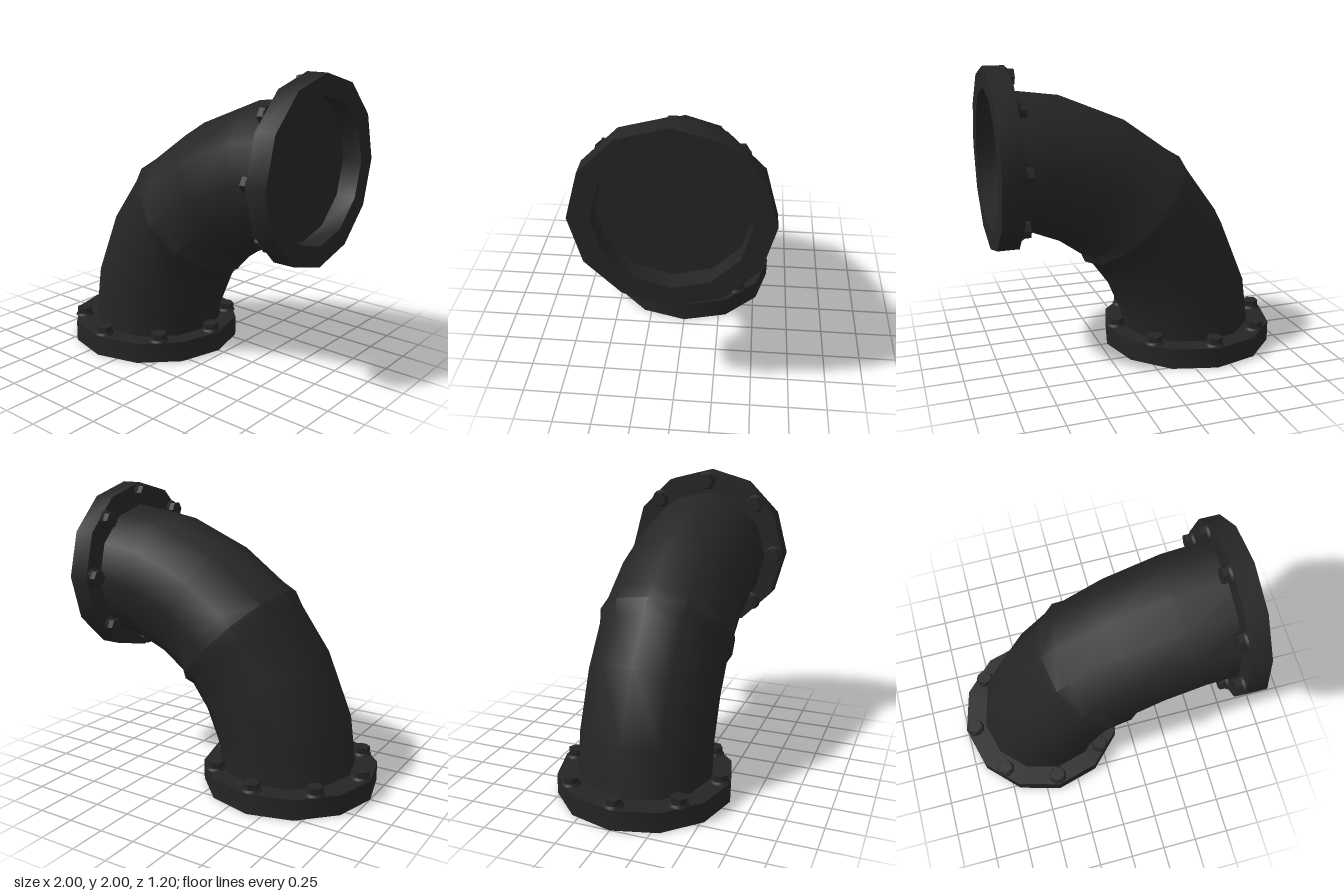
import * as THREE from 'three';
import { toCreasedNormals } from 'three/addons/utils/BufferGeometryUtils.js';

const SIDES = 12, BEND = 1.4, PIPE_R = 0.465, FLANGE_R = 0.602, FLANGE_H = 0.14;
const darkIron = new THREE.MeshStandardMaterial({ color: 0x252525 });
darkIron.name = 'dark iron';

function part(name, geometry) {
  const mesh = new THREE.Mesh(toCreasedNormals(geometry, 0.65), darkIron);
  mesh.name = name;
  return mesh;
}

// Quarter bend swept about (1, 0), with a weld bead at the middle
function bendGeometry() {
  const rings = [[0, 0], [15, 0], [30, 0], [41.5, 0], [45, 0.025], [48.5, 0], [60, 0], [75, 0], [90, 0]];
  const position = [], index = [];
  rings.forEach(([deg, swell], i) => {
    const a = THREE.MathUtils.degToRad(deg), r = PIPE_R + swell;
    for (let j = 0; j < SIDES; j++) {
      const t = (j / SIDES) * Math.PI * 2, d = BEND + r * Math.cos(t);
      position.push(1 - Math.cos(a) * d, Math.sin(a) * d, r * Math.sin(t));
      if (i === rings.length - 1) continue;
      const p = i * SIDES + j, q = i * SIDES + (j + 1) % SIDES;
      index.push(p, q, p + SIDES, q, q + SIDES, p + SIDES);
    }
  });
  const g = new THREE.BufferGeometry();
  g.setAttribute('position', new THREE.Float32BufferAttribute(position, 3));
  g.setIndex(index);
  return g;
}

// Bolted flange: mating face at y = 0, pipe leaving along +y
function flange(name) {
  const group = new THREE.Group();
  group.name = name;

  const profile = [[PIPE_R, 0], [FLANGE_R, 0], [FLANGE_R, FLANGE_H], [PIPE_R - 0.03, FLANGE_H], [PIPE_R, FLANGE_H - 0.005], [PIPE_R, 0]]
    .map(([r, y]) => new THREE.Vector2(r, y));
  group.add(part('flangeRing', new THREE.LatheGeometry(profile, SIDES)));

  // Closing plate recessed in the opening
  const plate = part('recessedPlate', new THREE.CircleGeometry(PIPE_R + 0.003, SIDES));
  plate.rotation.x = Math.PI / 2;
  plate.position.y = FLANGE_H - 0.006;
  group.add(plate);

  // Eight hexagonal bolts on washers
  for (let i = 0; i < 8; i++) {
    const a = (i / 8) * Math.PI * 2;
    const bolt = new THREE.Group();
    bolt.name = 'bolt';
    const washer = part('washer', new THREE.CylinderGeometry(0.055, 0.066, 0.016, 12));
    washer.position.y = 0.008;
    const head = part('boltHead', new THREE.CylinderGeometry(0.055, 0.055, 0.045, 6));
    head.position.y = 0.0335;
    bolt.add(washer, head);
    bolt.position.set(0.53 * Math.cos(a), FLANGE_H, 0.53 * Math.sin(a));
    group.add(bolt);
  }
  return group;
}

export function createModel() {
  const model = new THREE.Group();
  model.name = 'pipeElbow';
  model.add(part('bentPipe', bendGeometry()));

  const lower = flange('lowerFlange');
  lower.position.set(-0.4, 0, 0);
  const side = flange('sideFlange');
  side.position.set(1, 1.4, 0);
  side.rotation.z = Math.PI / 2;
  model.add(lower, side);
  return model;
}
